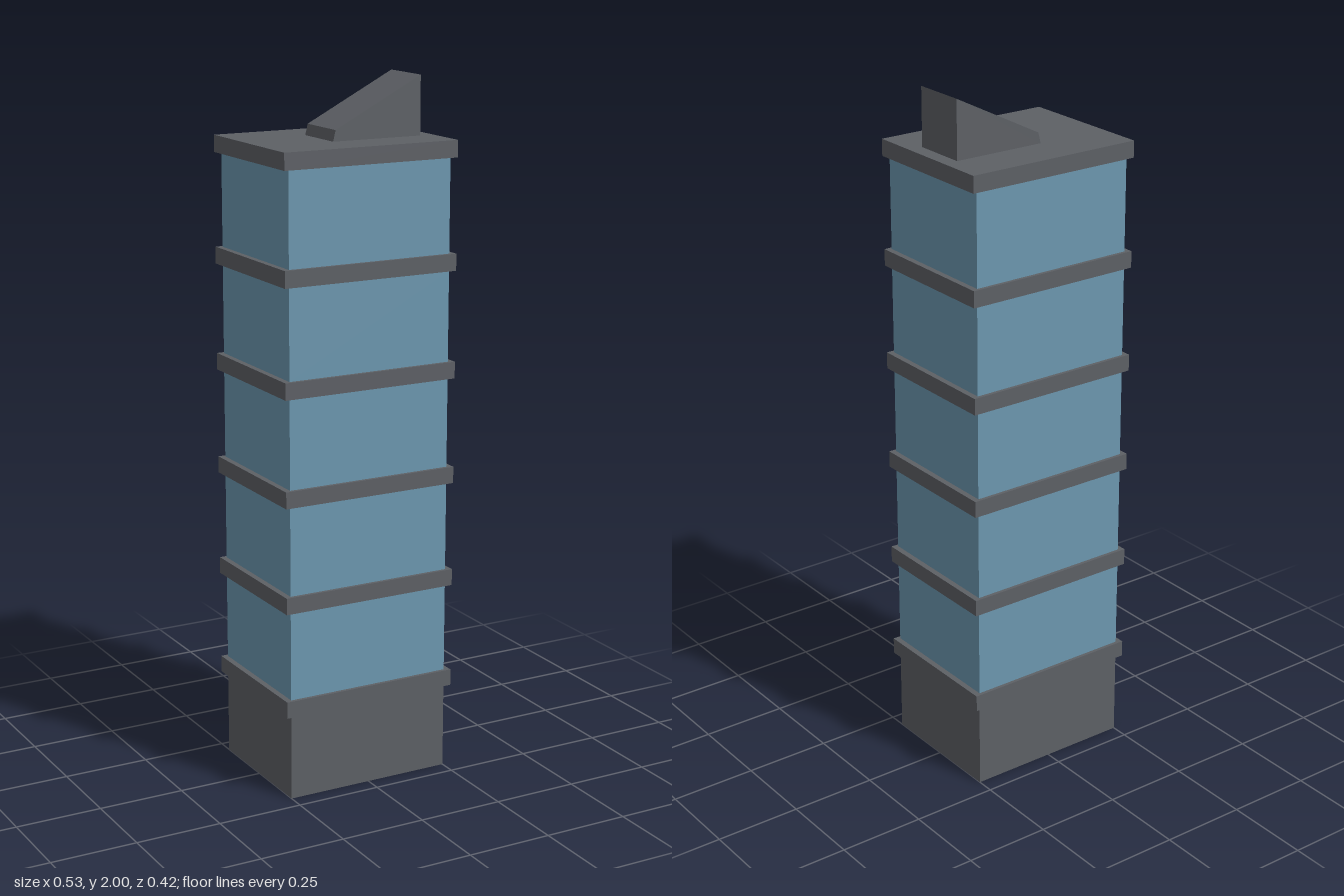
import * as THREE from 'three';

const grey = new THREE.MeshStandardMaterial({ color: 0x5d6065 });
const greyShell = new THREE.MeshStandardMaterial({ color: 0x5d6065, side: THREE.DoubleSide });
const glass = new THREE.MeshStandardMaterial({ color: 0x6c97af });

// Box spanning y0..y1, centred on the tower axis
function block(name, width, depth, y0, y1, material) {
  const mesh = new THREE.Mesh(new THREE.BoxGeometry(width, y1 - y0, depth), material);
  mesh.position.y = (y0 + y1) / 2;
  mesh.name = name;
  return mesh;
}

export function createModel() {
  const tower = new THREE.Group();
  tower.name = 'tower';

  // Ground storey: four walls, open underneath
  const base = block('base', 0.5, 0.4, 0, 0.25, greyShell);
  const index = Array.from(base.geometry.index.array);
  base.geometry.setIndex([...index.slice(0, 12), ...index.slice(24)]);
  base.geometry.clearGroups();
  tower.add(base);

  // Floor slabs that overhang the walls, with a glazed storey between each pair
  const slabs = [0.249, 0.555, 0.86, 1.165, 1.471, 1.785];
  const thickness = 0.048;
  slabs.forEach((y, i) => {
    const last = i === slabs.length - 1;
    tower.add(block(last ? 'roofSlab' : 'floorSlab', 0.534, 0.42, y, y + thickness, grey));
    if (!last) tower.add(block('glazedStorey', 0.5, 0.4, y + thickness, slabs[i + 1], glass));
  });

  // Sloping rooftop housing
  const profile = new THREE.Shape([
    new THREE.Vector2(-0.05, 1.832),
    new THREE.Vector2(0.225, 1.832),
    new THREE.Vector2(0.225, 2),
    new THREE.Vector2(-0.042, 1.864),
  ]);
  const housing = new THREE.Mesh(
    new THREE.ExtrudeGeometry(profile, { depth: 0.16, bevelEnabled: false }), grey);
  housing.position.z = -0.08;
  housing.name = 'rooftopHousing';
  tower.add(housing);

  return tower;
}
